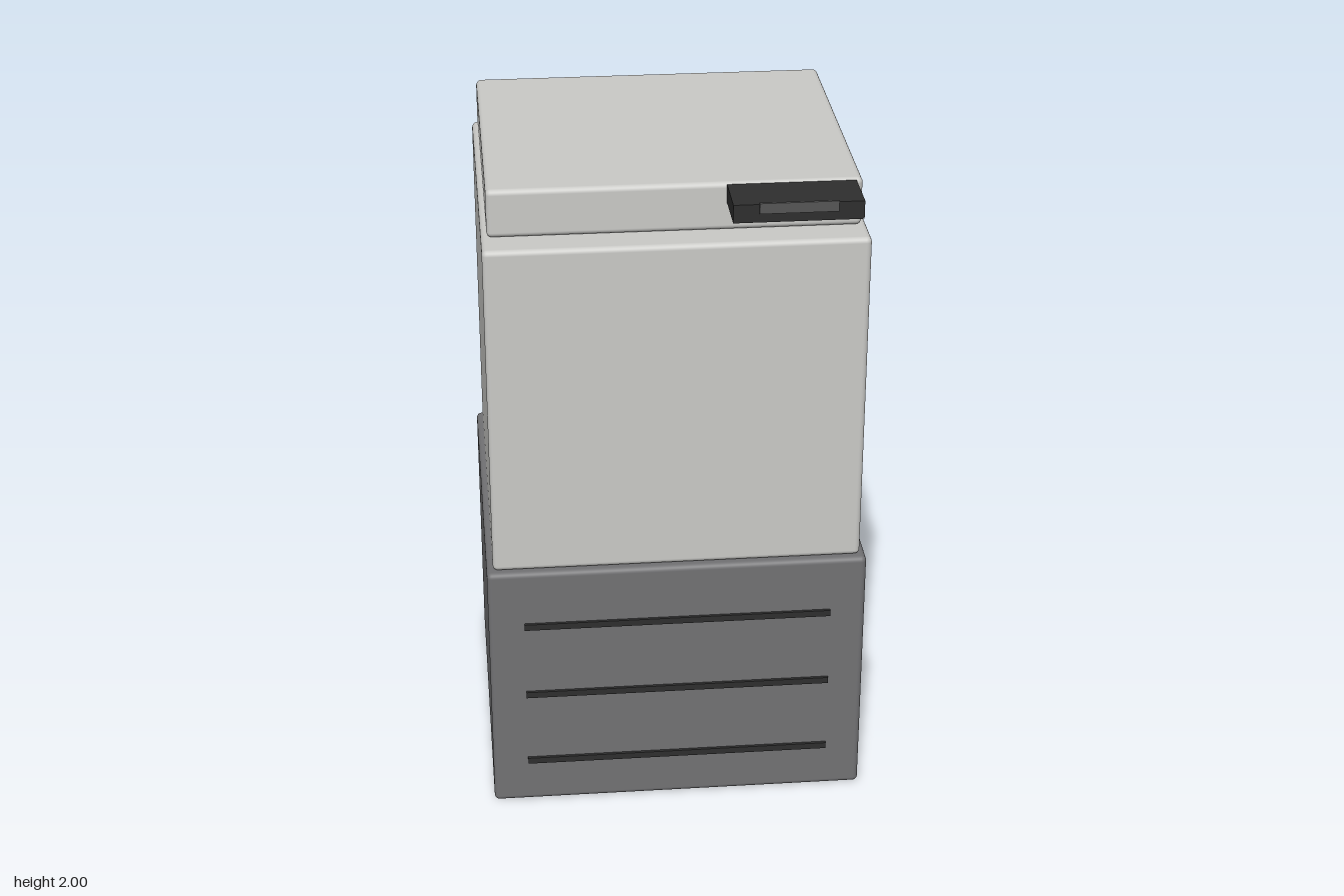
import * as THREE from 'three';
import { RoundedBoxGeometry } from 'three/addons/geometries/RoundedBoxGeometry.js';

function material(name, color) {
  const m = new THREE.MeshStandardMaterial({ color });
  m.name = name;
  return m;
}

export function createModel() {
  const group = new THREE.Group();
  group.name = 'chestCooler';
  const lightGrey = material('lightGrey', 0xcacac7);
  const midGrey = material('midGrey', 0x727274);
  const black = material('black', 0x2e2e2e);
  const panelGrey = material('panelGrey', 0x565656);

  // Box from its min and max corners, with optionally rounded edges
  function box(name, mat, [x0, y0, z0], [x1, y1, z1], radius = 0) {
    const size = [x1 - x0, y1 - y0, z1 - z0];
    const geometry = radius
      ? new RoundedBoxGeometry(...size, 3, radius)
      : new THREE.BoxGeometry(...size);
    const mesh = new THREE.Mesh(geometry, mat);
    mesh.name = name;
    mesh.position.set((x0 + x1) / 2, (y0 + y1) / 2, (z0 + z1) / 2);
    group.add(mesh);
  }

  // Stacked housing
  box('base', midGrey, [-0.571, 0, -0.557], [0.571, 0.818, 0.513], 0.016);
  box('body', lightGrey, [-0.552, 0.818, -0.537], [0.552, 1.855, 0.494], 0.016);
  box('lid', lightGrey, [-0.535, 1.855, -0.52], [0.535, 2, 0.4], 0.016);

  // Vent strips on the front of the base
  [0.15, 0.392, 0.634].forEach((y, i) => {
    box(`ventStrip${i + 1}`, black, [-0.464, y - 0.01, 0.505], [0.464, y + 0.01, 0.522]);
  });

  // Control unit overhanging the front of the lid, with its display
  box('controlUnit', black, [0.147, 1.94, 0.39], [0.516, 1.994, 0.55]);
  box('display', panelGrey, [0.22, 1.968, 0.549], [0.443, 1.999, 0.557]);

  return group;
}
